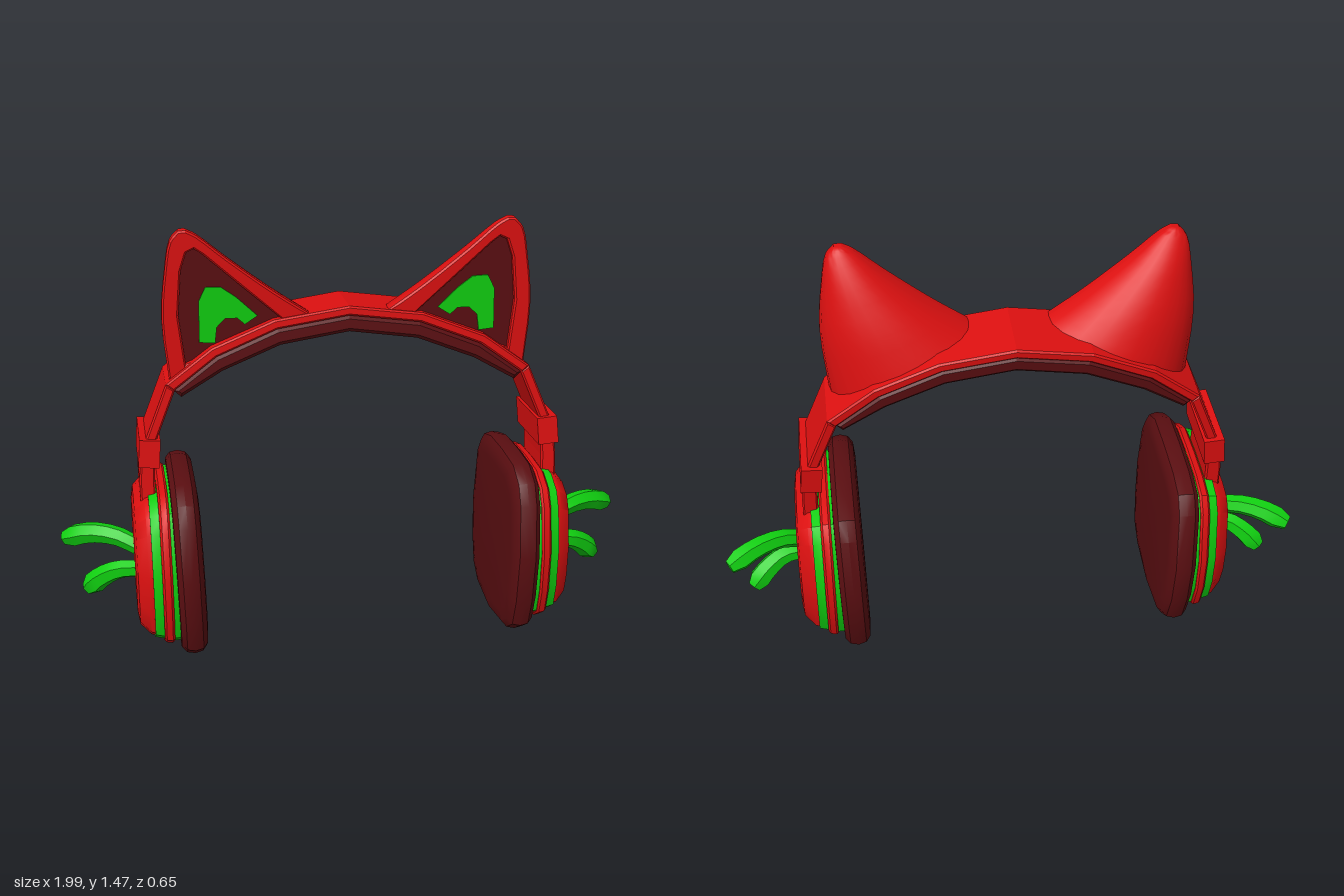
import * as THREE from 'three';
import { toCreasedNormals } from 'three/addons/utils/BufferGeometryUtils.js';

const V = (x, y, z) => new THREE.Vector3(x, y, z);

// Skin over rings of equal point count, with fan caps, wound outward.
function loft(rings, crease = 0.6) {
  const tris = [];
  const n = rings[0].length;
  const centre = r => r.reduce((a, p) => a.add(p), V(0, 0, 0)).divideScalar(n);
  const first = rings[0], last = rings[rings.length - 1];
  const c0 = centre(first), c1 = centre(last);
  for (let j = 0; j < n; j++) {
    const k = (j + 1) % n;
    for (let i = 0; i < rings.length - 1; i++) {
      const a = rings[i], b = rings[i + 1];
      tris.push([a[j], a[k], b[k]], [a[j], b[k], b[j]]);
    }
    tris.push([c0, first[k], first[j]], [c1, last[j], last[k]]);
  }
  let volume = 0;
  for (const [a, b, c] of tris) volume += a.dot(b.clone().cross(c));
  const pts = tris.flatMap(([a, b, c]) => (volume > 0 ? [a, b, c] : [a, c, b]));
  return toCreasedNormals(new THREE.BufferGeometry().setFromPoints(pts), crease);
}

// Reflected copy in x, with the corner order restored.
function mirror(geo) {
  const g = geo.index ? geo.toNonIndexed() : geo.clone();
  g.scale(-1, 1, 1);
  for (const attr of Object.values(g.attributes)) {
    const s = attr.itemSize, a = attr.array;
    for (let i = 0; i < attr.count; i += 3) {
      for (let c = 0; c < s; c++) {
        const p = (i + 1) * s + c, q = (i + 2) * s + c;
        [a[p], a[q]] = [a[q], a[p]];
      }
    }
  }
  return g;
}

const shapeOf = pts => new THREE.Shape(pts.map(p => new THREE.Vector2(p[0], p[1])));

// Front profile extruded across the band width, centred on z = 0.
function bandPart(outer, inner, width, bevel = 0.006) {
  const geo = new THREE.ExtrudeGeometry(shapeOf([...outer, ...inner.slice().reverse()]), {
    depth: width - 2 * bevel, bevelEnabled: true, bevelSize: bevel, bevelThickness: bevel,
    bevelOffset: -bevel, bevelSegments: 1,
  });
  return geo.translate(0, 0, -width / 2 + bevel);
}

// Full arch from its right half
const arch = half => [...half.slice(1).reverse().map(([x, y]) => [-x, y]), ...half];

export function createModel() {
  const model = new THREE.Group();
  const mat = (name, color) => {
    const m = new THREE.MeshStandardMaterial({ color });
    m.name = name;
    return m;
  };
  const red = mat('red', 0xdd1010);
  const dark = mat('dark maroon', 0x5a0e11);
  const green = mat('bright green', 0x10cf10);

  const add = (name, geo, material) => {
    const mesh = new THREE.Mesh(geo, material);
    mesh.name = name;
    model.add(mesh);
  };
  const pair = (name, geo, material) => {
    add(name + 'Left', geo, material);
    add(name + 'Right', mirror(geo), material);
  };
  // The headband leans back a little
  const lean = geo => geo.translate(0, -0.6, 0).rotateX(-0.09).translate(0, 0.6, -0.025);

  // Headband and its padding
  const top = [[0, 1.2], [0.25, 1.165], [0.46, 1.08], [0.615, 0.965]];
  const mid = [[0, 1.168], [0.24, 1.134], [0.445, 1.05], [0.59, 0.942]];
  const low = [[0, 1.112], [0.23, 1.078], [0.425, 1.0], [0.565, 0.918]];
  add('headband', lean(bandPart(arch(top), arch(mid), 0.255)), red);
  add('headbandPadding', lean(bandPart(arch(mid), arch(low), 0.245, 0.012)), dark);

  // Side arms, sliders and clasps
  pair('arm', lean(bandPart(
    [[0.615, 0.965], [0.69, 0.78], [0.705, 0.7]],
    [[0.585, 0.945], [0.652, 0.78], [0.67, 0.7]], 0.25)), red);
  pair('slider', lean(bandPart(
    [[0.705, 0.74], [0.717, 0.64], [0.717, 0.555]],
    [[0.66, 0.74], [0.665, 0.64], [0.665, 0.555]], 0.235)), red);
  const clasp = new THREE.BoxGeometry(0.07, 0.095, 0.285).rotateZ(0.08).translate(0.68, 0.735, 0);
  pair('clasp', lean(clasp), red);

  // Ear cups: rounded square outline as [z, y] about the cup centre
  const outline = [
    [0.16, 0.322], [0.25, 0.285], [0.292, 0.22], [0.328, 0.04], [0.318, -0.13], [0.288, -0.235],
    [0.215, -0.285], [0.02, -0.323], [-0.18, -0.308], [-0.258, -0.262], [-0.305, -0.15],
    [-0.326, 0.0], [-0.298, 0.215], [-0.255, 0.275], [-0.16, 0.303], [0.0, 0.318],
  ];
  const cup = (profile, tilt = 0) => loft(profile.map(([x, s]) =>
    outline.map(([z, y]) => V(x + tilt * y * s, 0.333 + y * s, z * s))));
  pair('earPad', cup([[0.52, 0.8], [0.524, 0.92], [0.54, 0.98], [0.567, 1], [0.595, 0.985],
    [0.612, 0.93], [0.614, 0.8]], 0.025), dark);
  pair('thinStripe', cup([[0.59, 0.86], [0.63, 0.86]]), green);
  pair('cupRim', cup([[0.628, 0.87], [0.635, 0.885], [0.655, 0.875], [0.662, 0.85]]), red);
  pair('wideStripe', cup([[0.655, 0.84], [0.692, 0.815]]), green);
  pair('cupShell', cup([[0.688, 0.8], [0.705, 0.785], [0.74, 0.68], [0.747, 0.56]]), red);

  // Curved whiskers, thicker towards the tip
  const whisker = pts => {
    const curve = new THREE.CatmullRomCurve3(pts);
    const steps = 7, sides = 6;
    const frames = curve.computeFrenetFrames(steps, false);
    const rings = [];
    for (let i = 0; i <= steps; i++) {
      const r = i === steps ? 0.026 : 0.03 + 0.012 * i / steps;
      const p = curve.getPointAt(i / steps);
      rings.push(Array.from({ length: sides }, (_, j) => {
        const a = j / sides * Math.PI * 2;
        return p.clone().addScaledVector(frames.normals[i], r * Math.cos(a))
          .addScaledVector(frames.binormals[i], r * Math.sin(a));
      }));
    }
    return loft(rings);
  };
  pair('upperWhisker', whisker([V(0.72, 0.355, 0.0), V(0.8, 0.39, -0.035),
    V(0.89, 0.39, -0.08), V(0.983, 0.355, -0.128)]), green);
  pair('lowerWhisker', whisker([V(0.72, 0.29, 0.025), V(0.8, 0.285, 0.01),
    V(0.86, 0.25, -0.015), V(0.912, 0.195, -0.04)]), green);

  // Cat ears: domed back between two edge curves (z of the first holds depth)
  const inner = new THREE.CatmullRomCurve3([V(0.13, 1.185, 0.19), V(0.25, 1.268, 0.145),
    V(0.4, 1.385, 0.085), V(0.495, 1.465, 0.03), V(0.53, 1.484, 0.008)]);
  const outer = new THREE.CatmullRomCurve3([V(0.6, 0.965, 0), V(0.618, 1.19, 0),
    V(0.602, 1.35, 0), V(0.582, 1.45, 0), V(0.555, 1.482, 0)]);
  const rows = 12, cols = 12, rings = [];
  const innerEdge = [], outerEdge = [];
  for (let i = 0; i <= rows; i++) {
    const a = inner.getPoint(i / rows), b = outer.getPoint(i / rows);
    innerEdge.push([a.x, a.y]);
    outerEdge.push([b.x, b.y]);
    rings.push(Array.from({ length: cols + 1 }, (_, j) => {
      const t = j / cols * Math.PI;
      const p = a.clone().lerp(b, (1 - Math.cos(t)) / 2);
      return p.setZ(0.008 - a.z * Math.sin(t));
    }));
  }
  pair('earBack', loft(rings, 0.9), red);

  // Raised ear rim around a recessed lining
  const rim = shapeOf([...outerEdge, ...innerEdge.reverse()]);
  const lining = [[0.545, 1.03], [0.563, 1.2], [0.55, 1.35], [0.53, 1.41], [0.505, 1.422],
    [0.475, 1.4], [0.36, 1.295], [0.215, 1.165]];
  rim.holes.push(new THREE.Path(lining.map(p => new THREE.Vector2(p[0], p[1]))));
  pair('earRim', new THREE.ExtrudeGeometry(rim, {
    depth: 0.024, bevelEnabled: true, bevelSize: 0.006, bevelThickness: 0.006,
    bevelOffset: -0.006, bevelSegments: 1,
  }).translate(0, 0, 0.008), red);
  const plate = (pts, z) => new THREE.ExtrudeGeometry(shapeOf(pts),
    { depth: 0.006, bevelEnabled: false }).translate(0, 0, z);
  pair('earLining', plate(lining, 0.009), dark);
  pair('earPatch', plate([[0.497, 1.1], [0.495, 1.24], [0.472, 1.287], [0.42, 1.285],
    [0.37, 1.248], [0.303, 1.183], [0.345, 1.155], [0.37, 1.178], [0.41, 1.178],
    [0.438, 1.15], [0.445, 1.095]], 0.014), green);

  return model;
}
